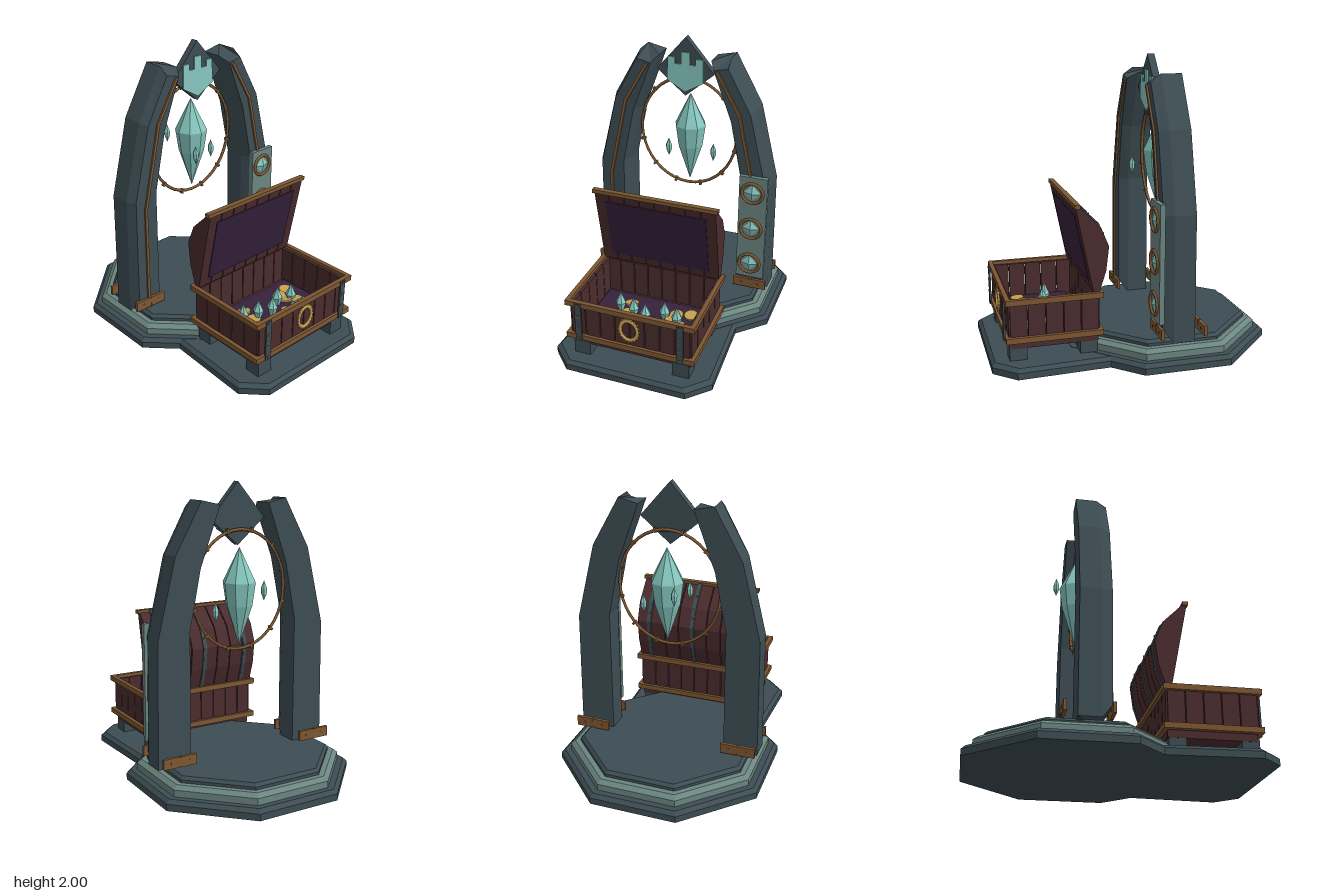
import * as THREE from 'three';

const paint = (name, color) => Object.assign(new THREE.MeshStandardMaterial({ color }), { name });
const slate = paint('slate', 0x3d4d53);
const stone = paint('pale stone', 0x6c8681);
const crystal = paint('teal crystal', 0x87c8c0);
const bronze = paint('bronze', 0x7d5732);
const gold = paint('gold', 0xc6a052);
const wood = paint('red wood', 0x4b2c2e);
const velvet = paint('purple velvet', 0x36213c);

function add(parent, name, geo, mat, x = 0, y = 0, z = 0) {
  const m = new THREE.Mesh(geo, mat);
  m.name = name;
  m.position.set(x, y, z);
  parent.add(m);
  return m;
}

const box = (parent, name, mat, w, h, d, x, y, z) =>
  add(parent, name, new THREE.BoxGeometry(w, h, d), mat, x, y, z);

// Faceted skin through matching convex loops, capped at both ends
function loft(rings) {
  const tris = [], n = rings[0].length, last = rings.length - 1;
  for (let r = 0; r < last; r++)
    for (let i = 0; i < n; i++) {
      const j = (i + 1) % n, a = rings[r], b = rings[r + 1];
      tris.push([a[i], a[j], b[j]], [a[i], b[j], b[i]]);
    }
  for (let i = 1; i < n - 1; i++) {
    tris.push([rings[0][0], rings[0][i + 1], rings[0][i]]);
    tris.push([rings[last][0], rings[last][i], rings[last][i + 1]]);
  }
  // turn the skin outward whichever way the loops run
  let volume = 0;
  for (const [a, b, c] of tris)
    volume += a[0] * (b[1] * c[2] - b[2] * c[1]) - a[1] * (b[0] * c[2] - b[2] * c[0]) + a[2] * (b[0] * c[1] - b[1] * c[0]);
  if (volume < 0) tris.forEach(t => t.reverse());
  const geo = new THREE.BufferGeometry();
  geo.setAttribute('position', new THREE.Float32BufferAttribute(tris.flat(2), 3));
  geo.computeVertexNormals();
  return geo;
}

// Horizontal regular polygon
function ring(n, r, y, z = 0, turn = 0) {
  return Array.from({ length: n }, (_, i) => {
    const a = (i / n) * Math.PI * 2 + turn;
    return [Math.cos(a) * r, y, Math.sin(a) * r + z];
  });
}

// Square bar between two points
function beam(parent, name, mat, a, b, w, d) {
  const p = new THREE.Vector3(...a), q = new THREE.Vector3(...b);
  const m = add(parent, name, new THREE.BoxGeometry(w, d, p.distanceTo(q) + d * 0.5), mat);
  m.position.copy(p).add(q).multiplyScalar(0.5);
  m.lookAt(q);
}

const shard = (n, levels) => loft(levels.map(([y, r]) => ring(n, Math.max(r, 0.001), y)));

function buildBase(g) {
  const tier = (name, mat, levels) =>
    add(g, name, loft(levels.map(([r, y]) => ring(8, r / Math.cos(Math.PI / 8), y, -0.265, Math.PI / 8))), mat);
  tier('lowerTier', slate, [[0.715, 0], [0.715, 0.045], [0.69, 0.07]]);
  tier('middleTier', stone, [[0.65, 0.06], [0.65, 0.115], [0.62, 0.14]]);
  tier('upperTier', slate, [[0.585, 0.13], [0.585, 0.16], [0.565, 0.18]]);
  // front platform under the chest
  const half = [[0.51, 0.1], [0.53, 0.19], [0.56, 0.83], [0.42, 0.975]];
  const outline = [...half, ...half.map(([x, z]) => [-x, z]).reverse()];
  const level = (y, k) => outline.map(([x, z]) => [x * k, y, (z - 0.45) * k + 0.45]);
  add(g, 'frontPlatform', loft([level(0, 1), level(0.045, 1), level(0.068, 0.955)]), slate);
}

function buildPillar(g, s) {
  const p = new THREE.Group();
  p.name = s > 0 ? 'leftPillar' : 'rightPillar';
  g.add(p);
  // outer x, y, inner x, y, then shift of the front edge at the ends
  const sections = [
    [0.65, 0.17, 0.41, 0.17, 0, 0.09], [0.64, 1.02, 0.41, 1.06, 0, 0],
    [0.51, 1.55, 0.33, 1.46, 0, 0], [0.32, 1.89, 0.185, 1.86, 0.02, -0.045],
  ];
  add(p, 'pillarBody', loft(sections.map(([ox, oy, ix, iy, dx, dy]) => {
    const at = (t, z, k = 0) => [s * (ox + (ix - ox) * t + dx * k), oy + (iy - oy) * t + dy * k, z];
    return [at(0, -0.325), at(1, -0.325), at(1, -0.18), at(0.87, -0.112, 1), at(0.13, -0.112, 1), at(0, -0.18)];
  })), slate);
  // bronze inlay following the curve
  const path = [[0.54, 0.2], [0.535, 0.95], [0.41, 1.53], [0.25, 1.81]];
  for (let i = 0; i < 3; i++)
    beam(p, 'pillarTrim', bronze, [s * path[i][0], path[i][1], -0.108], [s * path[i + 1][0], path[i + 1][1], -0.108], 0.018, 0.02);
  // foot plates
  for (const z of [-0.105, -0.4]) {
    for (const [x, w] of [[0.595, 0.115], [0.47, 0.115]]) {
      box(p, 'footPlate', bronze, w, 0.07, 0.022, s * x, 0.235, z);
      box(p, 'footStud', bronze, 0.014, 0.014, 0.03, s * x, 0.235, z);
    }
    box(p, 'footClasp', bronze, 0.02, 0.06, 0.018, s * 0.532, 0.235, z);
  }
}

function buildArch(g) {
  for (const s of [-1, 1]) buildPillar(g, s);
  // stone panel with three gem medallions
  box(g, 'medallionPanel', stone, 0.2, 0.8, 0.035, 0.535, 0.7, -0.1);
  for (const y of [0.98, 0.7, 0.415]) {
    add(g, 'medallionRing', new THREE.TorusGeometry(0.075, 0.012, 6, 18), bronze, 0.53, y, -0.078);
    add(g, 'medallionGem', new THREE.OctahedronGeometry(0.068), crystal, 0.53, y, -0.085).scale.z = 0.35;
  }
  // diamond keystone with a crenellated shield plate
  const diamond = z => [[0, 2], [0.205, 1.76], [0, 1.585], [-0.205, 1.76]].map(([x, y]) => [x, y, z]);
  add(g, 'keystone', loft([diamond(-0.24), diamond(-0.19)]), slate);
  const half = [[0.03, 1.895], [0.03, 1.81], [0.075, 1.81], [0.075, 1.855], [0.125, 1.855], [0.13, 1.69]];
  const shield = new THREE.Shape([...half.map(([x, y]) => new THREE.Vector2(-x, y)).reverse(),
    ...half.map(([x, y]) => new THREE.Vector2(x, y)), new THREE.Vector2(0, 1.615)]);
  add(g, 'shieldPlate', new THREE.ExtrudeGeometry(shield, { depth: 0.009, bevelEnabled: false }), crystal, 0, 0, -0.19);
  // oval ring with small studs
  const oval = add(g, 'bronzeRing', new THREE.TorusGeometry(1, 0.028, 6, 40), bronze, 0, 1.29, -0.265);
  oval.scale.set(0.352, 0.4, 0.4);
  for (let i = 0; i < 12; i++) {
    const a = ((i + 0.5) / 12) * Math.PI * 2;
    const stud = box(g, 'ringStud', bronze, 0.034, 0.016, 0.022, Math.cos(a) * 0.356, 1.29 + Math.sin(a) * 0.404, -0.265);
    stud.rotation.z = a;
  }
  // floating crystals
  add(g, 'largeCrystal', shard(8, [[0.92, 0], [1.19, 0.09], [1.345, 0.112], [1.575, 0]]), crystal, 0.01, 0, -0.275);
  for (const [x, y, z] of [[-0.09, 1.3, -0.42], [-0.09, 1.225, -0.11], [0.185, 1.155, -0.265]])
    add(g, 'smallCrystal', shard(6, [[-0.065, 0], [-0.02, 0.02], [0.015, 0.022], [0.065, 0]]), crystal, x, y, z);
}

function buildChest(g) {
  const c = new THREE.Group();
  c.name = 'chest';
  g.add(c);
  for (const x of [-0.35, 0.35])
    for (const z of [0.33, 0.8]) box(c, 'chestFoot', slate, 0.115, 0.11, 0.115, x, 0.12, z);
  box(c, 'chestFloor', wood, 0.82, 0.06, 0.58, 0, 0.18, 0.555);
  box(c, 'velvetFloor', velvet, 0.77, 0.03, 0.46, 0, 0.215, 0.55);
  // plank walls with narrow gaps
  for (let i = 0; i < 8; i++)
    for (const z of [0.27, 0.85]) box(c, 'wallPlank', wood, 0.097, 0.27, 0.025, (i - 3.5) * 0.104, 0.335, z);
  for (let i = 0; i < 5; i++)
    for (const x of [-0.412, 0.412]) box(c, 'sidePlank', wood, 0.025, 0.27, 0.112, x, 0.335, 0.56 + (i - 2) * 0.118);
  // bronze bands
  for (const y of [0.218, 0.475]) {
    for (const z of [0.252, 0.867]) box(c, 'longBand', bronze, 0.9, 0.038, 0.03, 0, y, z);
    for (const x of [-0.435, 0.435]) box(c, 'sideBand', bronze, 0.03, 0.038, 0.6, x, y, 0.56);
  }
  // front straps, studs and lock ring
  for (const x of [-0.355, 0.355]) {
    box(c, 'frontStrap', slate, 0.045, 0.29, 0.012, x, 0.345, 0.884);
    for (const y of [0.22, 0.3, 0.39, 0.475]) box(c, 'strapStud', bronze, 0.014, 0.014, 0.01, x, y, 0.889);
  }
  add(c, 'lockRing', new THREE.TorusGeometry(0.06, 0.012, 6, 20), gold, 0, 0.36, 0.875).scale.set(1, 1.25, 0.8);
  for (let i = 0; i < 20; i++) {
    const a = (i / 20) * Math.PI * 2;
    box(c, 'lockTooth', gold, 0.01, 0.01, 0.012, Math.cos(a) * 0.071, 0.36 + Math.sin(a) * 0.089, 0.875).rotation.z = a;
  }

  // open lid, cross-section as z, y
  const profile = [[0.3, 0.49], [0.415, 1.065], [0.39, 1.07], [0.25, 0.93], [0.195, 0.795], [0.215, 0.63], [0.26, 0.49]];
  const slice = x => profile.map(([z, y]) => [x, y, z]);
  for (let i = 0; i < 8; i++) {
    const x = (i - 3.5) * 0.107;
    add(c, 'lidPlank', loft([slice(x - 0.05), slice(x + 0.05)]), wood);
  }
  box(c, 'lidRim', bronze, 0.88, 0.026, 0.036, 0, 1.072, 0.403);
  const lining = box(c, 'lidLining', velvet, 0.71, 0.46, 0.008, 0, 0.775, 0.359);
  lining.rotation.x = Math.atan2(0.115, 0.575);
  for (const x of [-0.335, 0, 0.335])
    for (let i = 2; i < 6; i++) {
      const [a, b] = [profile[i], profile[i + 1]];
      beam(c, 'lidStrap', slate, [x, a[1], a[0]], [x, b[1], b[0]], 0.03, 0.016);
      box(c, 'lidStud', bronze, 0.012, 0.012, 0.02, x, (a[1] + b[1]) / 2, (a[0] + b[0]) / 2 - 0.004);
    }

  // treasure
  const coins = [[-0.26, 0.685], [-0.285, 0.7], [-0.155, 0.455], [-0.145, 0.545], [-0.05, 0.685], [-0.01, 0.71],
    [0.1, 0.63], [0.18, 0.47], [0.23, 0.585], [0.275, 0.7], [0.275, 0.44], [0.17, 0.54]];
  coins.forEach(([x, z], i) => {
    const coin = add(c, 'coin', new THREE.CylinderGeometry(0.048, 0.048, 0.012, 14), gold, x, 0.24 + (i % 3) * 0.009, z);
    coin.rotation.set(Math.sin(i * 2.1) * 0.12, i, Math.cos(i * 1.7) * 0.12);
  });
  for (const [x, z] of [[-0.215, 0.51], [-0.105, 0.545], [-0.005, 0.58], [0.11, 0.515], [0.21, 0.55]])
    add(c, 'treasureCrystal', shard(6, [[0.23, 0.02], [0.29, 0.038], [0.37, 0]]), crystal, x, 0, z);
  box(c, 'treasureBox', stone, 0.135, 0.07, 0.1, 0.175, 0.265, 0.69);
  for (const x of [-0.035, 0, 0.035]) box(c, 'treasureBoxSlot', slate, 0.012, 0.008, 0.07, 0.175 + x, 0.301, 0.69);
}

export function createModel() {
  const g = new THREE.Group();
  g.name = 'treasureShrine';
  buildBase(g);
  buildArch(g);
  buildChest(g);
  return g;
}
